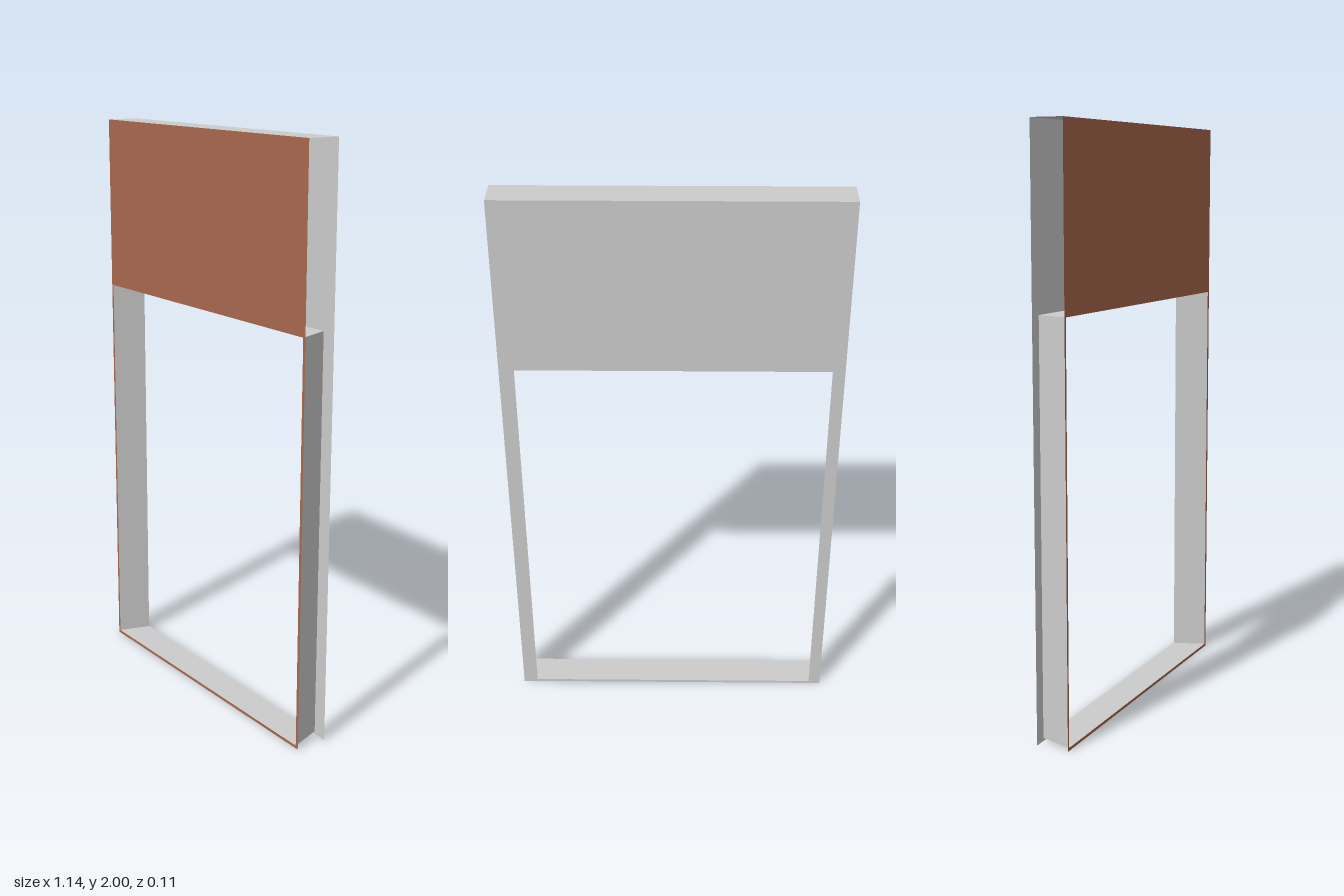
import * as THREE from 'three';

const HALF_W = 0.57, HALF_D = 0.057, HEIGHT = 2;
// Opening: nearly full width at the front, narrower at the back
const HEAD = 1.4, SILL = 0.01;
const FRONT = { left: -0.561, right: 0.559 };
const BACK = { left: -0.528, right: 0.519 };

// Flat wall sheet with a rectangular opening
function sheet(x0, x1) {
  const s = new THREE.Shape([
    new THREE.Vector2(-HALF_W, 0), new THREE.Vector2(HALF_W, 0),
    new THREE.Vector2(HALF_W, HEIGHT), new THREE.Vector2(-HALF_W, HEIGHT),
  ]);
  s.holes.push(new THREE.Path([
    new THREE.Vector2(x0, SILL), new THREE.Vector2(x0, HEAD),
    new THREE.Vector2(x1, HEAD), new THREE.Vector2(x1, SILL),
  ]));
  return new THREE.ShapeGeometry(s);
}

// Four-cornered face, corners counter-clockwise from its front
function quad(a, b, c, d) {
  const g = new THREE.BufferGeometry();
  g.setAttribute('position', new THREE.Float32BufferAttribute([a, b, c, a, c, d].flat(), 3));
  g.computeVertexNormals();
  return g;
}

export function createModel() {
  const model = new THREE.Group();
  model.name = 'wallWithOpening';
  const brick = new THREE.MeshStandardMaterial({ color: 0xa8684e, side: THREE.DoubleSide });
  brick.name = 'brick brown';
  const plaster = new THREE.MeshStandardMaterial({ color: 0xcccccc, side: THREE.DoubleSide });
  plaster.name = 'plaster grey';

  const add = (name, geometry, material) => {
    const mesh = new THREE.Mesh(geometry, material);
    mesh.name = name;
    model.add(mesh);
  };

  // Outer and inner wall skins; the ends stay open
  add('frontSkin', sheet(FRONT.left, FRONT.right).translate(0, 0, HALF_D), brick);
  add('backSkin', sheet(-BACK.right, -BACK.left).rotateY(Math.PI).translate(0, 0, -HALF_D), plaster);
  add('topCap', new THREE.PlaneGeometry(2 * HALF_W, 2 * HALF_D)
    .rotateX(-Math.PI / 2).translate(0, HEIGHT, 0), plaster);

  // Splayed lining of the opening
  const ring = (o, z) => [
    [o.left, SILL, z], [o.right, SILL, z], [o.right, HEAD, z], [o.left, HEAD, z],
  ];
  const front = ring(FRONT, HALF_D), back = ring(BACK, -HALF_D);
  ['sill', 'leftJamb', 'head', 'rightJamb'].forEach((name, i) => {
    const j = (i + 1) % 4;
    add(name, quad(front[i], front[j], back[j], back[i]), plaster);
  });
  return model;
}
